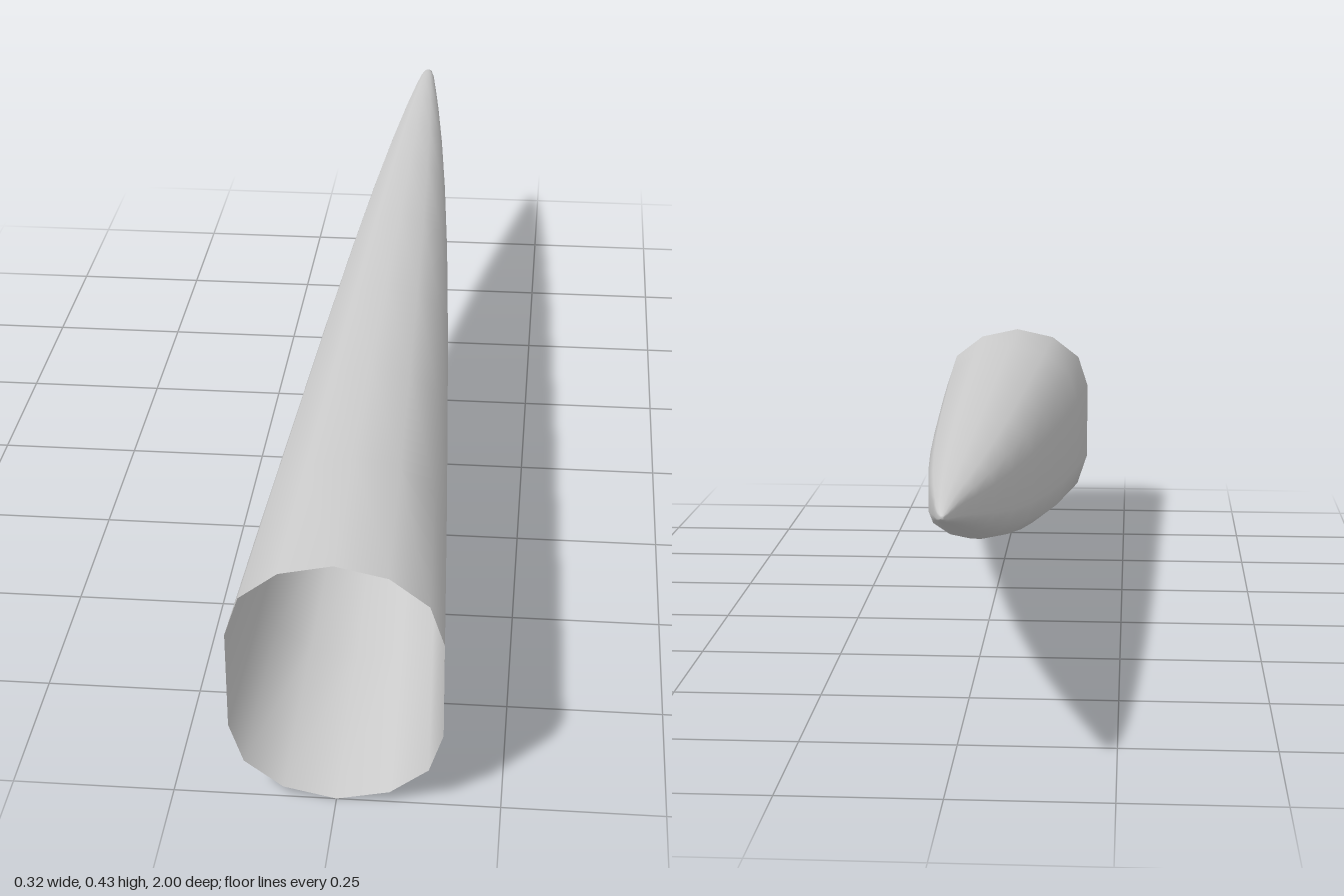
import * as THREE from 'three';

// Stations along the horn: [z, half width, bottom y, top y]
const stations = [
  [1, 0.162, 0.002, 0.425],
  [0.7, 0.146, 0.046, 0.427],
  [0.4, 0.129, 0.09, 0.428],
  [0.1, 0.111, 0.145, 0.43],
  [-0.2, 0.091, 0.206, 0.431],
  [-0.45, 0.071, 0.264, 0.433],
  [-0.65, 0.052, 0.317, 0.434],
  [-0.8, 0.035, 0.36, 0.435],
  [-0.9, 0.022, 0.388, 0.435],
  [-0.96, 0.014, 0.404, 0.432],
  [-0.99, 0.008, 0.412, 0.428],
  [-1, 0.003, 0.417, 0.424],
];

// Unit cross-section, clockwise from the top: two rounded caps joined by flat sides
const half = [[0, 1], [0.5, 0.958], [0.866, 0.85], [1, 0.694], [1, 0.306], [0.866, 0.15], [0.5, 0.042], [0, 0]];
const section = [...half, ...half.slice(1, -1).reverse().map(([x, y]) => [-x, y])];

// Loft the section through the stations and close the tip
function hornGeometry() {
  const n = section.length;
  const positions = [];
  const index = [];
  for (const [z, w, bottom, top] of stations) {
    for (const [x, t] of section) positions.push(x * w, bottom + t * (top - bottom), z);
  }
  for (let s = 0; s < stations.length - 1; s++) {
    for (let i = 0; i < n; i++) {
      const j = (i + 1) % n;
      const a = s * n + i, b = s * n + j, c = a + n, d = b + n;
      index.push(a, b, c, b, d, c);
    }
  }
  const last = (stations.length - 1) * n;
  const tip = positions.length / 3;
  positions.push(0, 0.42, -1);
  for (let i = 0; i < n; i++) index.push(last + i, last + (i + 1) % n, tip);

  const geometry = new THREE.BufferGeometry();
  geometry.setAttribute('position', new THREE.Float32BufferAttribute(positions, 3));
  // Reverse each triangle so that the faces point outwards
  for (let k = 0; k < index.length; k += 3) {
    const [a, b, c] = index.slice(k, k + 3);
    const p = (i) => new THREE.Vector3().fromArray(positions, i * 3);
    const normal = p(b).sub(p(a)).cross(p(c).sub(p(a)));
    const outward = p(a).add(p(b)).add(p(c)).divideScalar(3);
    const { y, z } = outward;
    const s = Math.max(0, stations.findIndex((st) => st[0] <= z));
    outward.set(outward.x, y - (stations[s][2] + stations[s][3]) / 2, z < -0.999 ? -1 : 0);
    if (normal.dot(outward) < 0) { index[k + 1] = c; index[k + 2] = b; }
  }
  geometry.setIndex(index);
  geometry.computeVertexNormals();
  return geometry;
}

export function createModel() {
  const group = new THREE.Group();
  group.name = 'taperedShell';
  // Thin shell, open at the wide front end
  const material = new THREE.MeshStandardMaterial({ color: 0xcccccc, side: THREE.DoubleSide });
  const shell = new THREE.Mesh(hornGeometry(), material);
  shell.name = 'shell';
  group.add(shell);
  return group;
}
